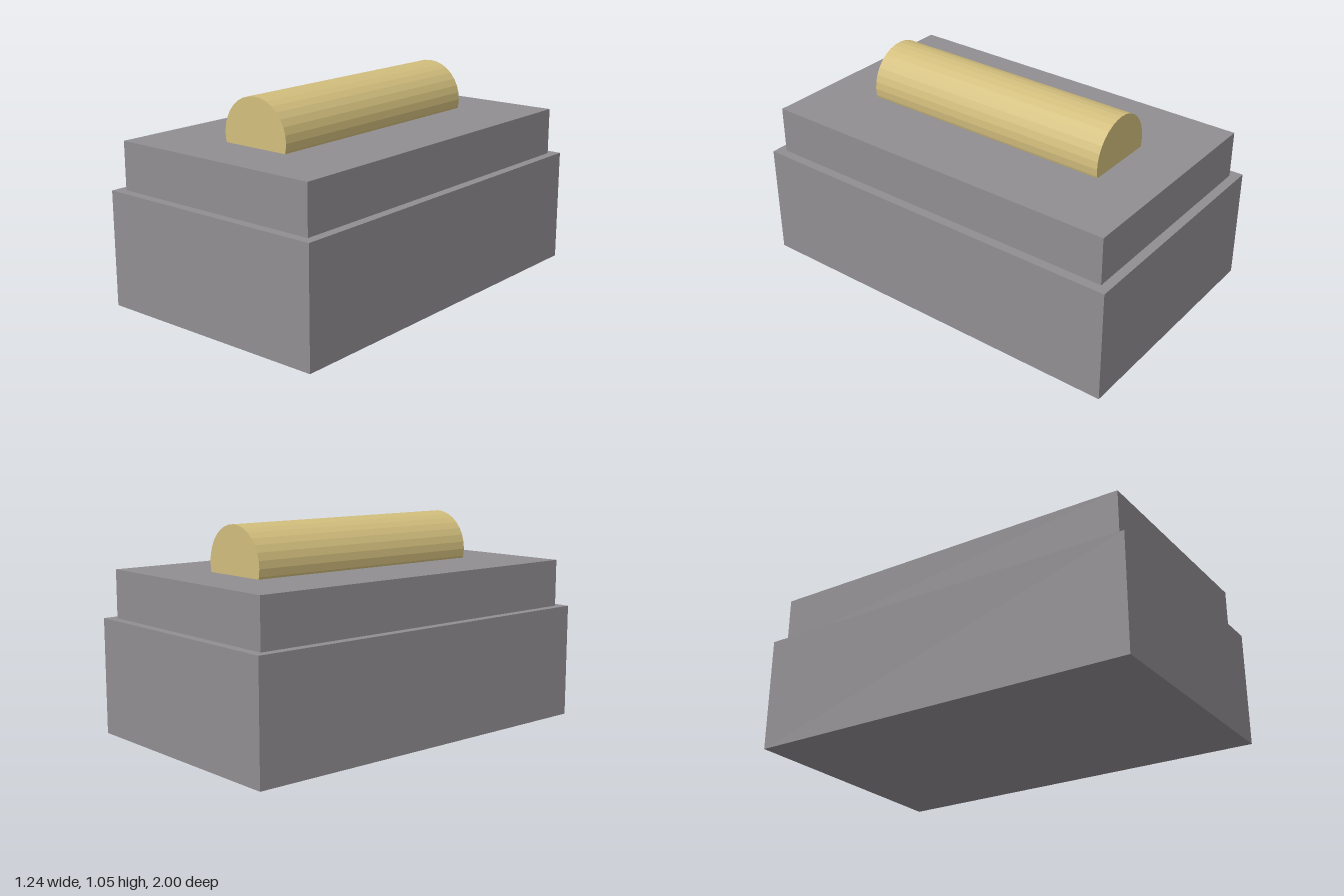
import * as THREE from 'three';

export function createModel() {
  const model = new THREE.Group();
  model.name = 'steppedBoxWithBar';

  const grey = new THREE.MeshStandardMaterial({ color: 0x918e91 });
  grey.name = 'stone grey';
  const gold = new THREE.MeshStandardMaterial({ color: 0xd2be7d });
  gold.name = 'pale gold';
  gold.flatShading = true;

  // A box standing on the given height
  function addBlock(name, width, height, depth, bottom) {
    const mesh = new THREE.Mesh(new THREE.BoxGeometry(width, height, depth), grey);
    mesh.name = name;
    mesh.position.y = bottom + height / 2;
    model.add(mesh);
  }

  // Wide base with a slightly inset upper step
  const baseHeight = 0.573, stepHeight = 0.238;
  addBlock('base', 1.236, baseHeight, 2, 0);
  addBlock('upperStep', 1.142, stepHeight, 1.906, baseHeight);

  // Round bar lying front to back, partly sunk into the step
  const radius = 0.19;
  const bar = new THREE.Mesh(new THREE.CylinderGeometry(radius, radius, 1.334, 32), gold);
  bar.name = 'topBar';
  bar.rotation.x = Math.PI / 2;
  bar.position.y = 1.048 - radius;
  model.add(bar);

  return model;
}
